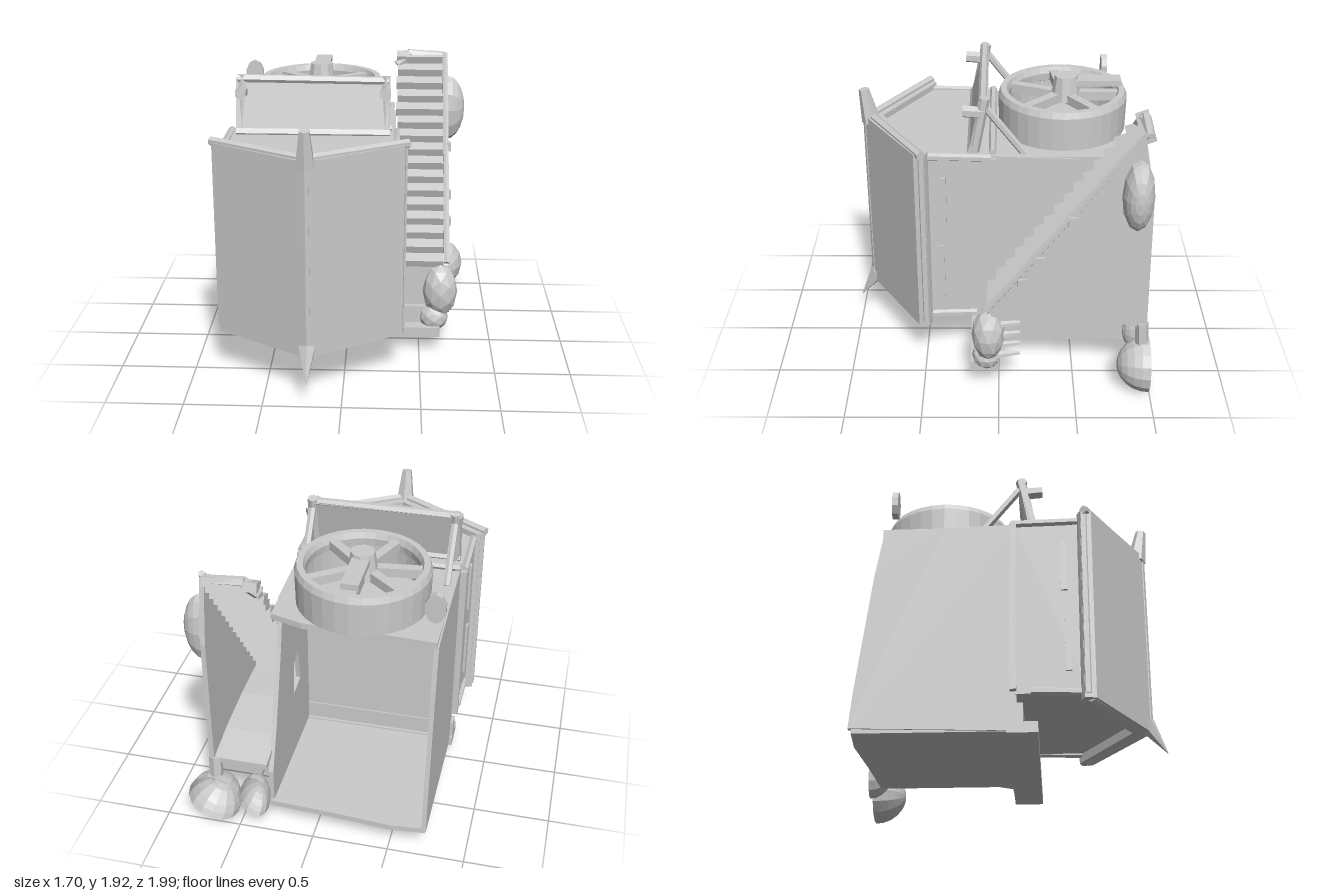
import * as THREE from 'three';

const mat = new THREE.MeshStandardMaterial({ color: 0xcccccc, flatShading: true, side: THREE.DoubleSide });

export function createModel() {
  const root = new THREE.Group();
  const add = (name, geo, x = 0, y = 0, z = 0) => {
    const m = new THREE.Mesh(geo, mat);
    m.name = name;
    m.position.set(x, y, z);
    root.add(m);
    return m;
  };
  // box given by its limits on each axis
  const box = (name, x0, x1, y0, y1, z0, z1) =>
    add(name, new THREE.BoxGeometry(x1 - x0, y1 - y0, z1 - z0), (x0 + x1) / 2, (y0 + y1) / 2, (z0 + z1) / 2);
  const shapeOf = pts => new THREE.Shape(pts.map(p => new THREE.Vector2(p[0], p[1])));
  // outline in (x, z), raised from y0 to y1
  const slab = (name, pts, y0, y1) => {
    const g = new THREE.ExtrudeGeometry(shapeOf(pts.map(p => [p[0], -p[1]])), { depth: y1 - y0, bevelEnabled: false });
    return add(name, g.rotateX(-Math.PI / 2), 0, y0, 0);
  };
  // outline in (z, y), spanning x0 to x1
  const side = (name, pts, x0, x1, hole) => {
    const s = shapeOf(pts.map(p => [-p[0], p[1]]));
    if (hole) s.holes.push(new THREE.Path(hole.map(p => new THREE.Vector2(-p[0], p[1]))));
    const g = new THREE.ExtrudeGeometry(s, { depth: x1 - x0, bevelEnabled: false });
    return add(name, g.rotateY(Math.PI / 2), x0, 0, 0);
  };
  const rod = (name, a, b, r, r2 = r, n = 6) => {
    const A = new THREE.Vector3(...a), B = new THREE.Vector3(...b);
    const m = add(name, new THREE.CylinderGeometry(r2, r, A.distanceTo(B), n));
    m.position.copy(A).lerp(B, 0.5);
    m.quaternion.setFromUnitVectors(new THREE.Vector3(0, 1, 0), B.sub(A).normalize());
    return m;
  };

  // hollow body, open at the back, with the rear edges sloping forward to the roof
  side('outerBodyWall', [[0.06, 0.13], [0.06, 1.55], [-0.4, 1.54], [-0.79, 1.51], [-0.84, 1.2], [-0.93, 0.4],
    [-0.95, 0.16]], -0.74, -0.71);
  side('innerBodyWall', [[0.06, 0.13], [0.06, 1.55], [-0.52, 1.53], [-0.6, 1.2], [-0.76, 0.7], [-0.88, 0.4],
    [-0.88, 0.16]], 0.29, 0.32, [[-0.18, 0.67], [-0.34, 0.65], [-0.33, 0.88], [-0.22, 0.92]]);
  slab('bodyRoof', [[-0.73, 0.05], [-0.73, -0.8], [-0.3, -0.78], [0.1, -0.78], [0.31, -0.72], [0.31, 0.05]], 1.5, 1.54);
  slab('bodyFloor', [[-0.73, 0.05], [-0.73, -0.93], [-0.5, -0.95], [-0.1, -0.92], [0.31, -0.9], [0.31, 0.05]], 0.13, 0.17);
  box('bodyFrontWall', -0.74, 0.32, 0.13, 1.55, 0.03, 0.06);

  // pointed front chamber
  slab('frontChamber', [[-0.75, 0.05], [-0.77, 0.5], [-0.22, 0.82], [0.33, 0.5], [0.31, 0.05]], 0.36, 1.55);
  box('baseLip', -0.76, 0.64, 0.11, 0.18, 0, 0.19);
  box('baseBand', -0.76, 0.66, 0.17, 0.3, 0.02, 0.1);

  // V shield with its rims and centre spikes
  slab('shield', [[-0.83, 0.47], [-0.82, 0.54], [-0.22, 0.91], [0.38, 0.54], [0.39, 0.47], [0.34, 0.45],
    [-0.22, 0.78], [-0.78, 0.45]], 0.3, 1.59);
  for (const s of [-1, 1]) {
    rod('shieldTopRim', [-0.22 + s * 0.62, 1.59, 0.49], [-0.22, 1.59, 0.86], 0.03);
    rod('shieldBottomRim', [-0.22 + s * 0.57, 0.31, 0.51], [-0.22, 0.32, 0.86], 0.025);
    rod('shieldEdge', [-0.22 + s * 0.59, 0.33, 0.49], [-0.22 + s * 0.59, 1.58, 0.49], 0.03);
  }
  rod('shieldRidge', [-0.22, 0.3, 0.89], [-0.22, 1.6, 0.89], 0.025);
  rod('topSpike', [-0.22, 1.55, 0.86], [-0.22, 1.78, 0.9], 0.065, 0.035);
  rod('bottomSpike', [-0.22, 0.36, 0.87], [-0.22, 0.16, 1], 0.06, 0.002);

  // strips on the chamber sides
  for (const x of [0.325, -0.765]) {
    box('sideStrip', x - 0.015, x + 0.015, 0.5, 0.9, 0.36, 0.4);
    box('sideStrip', x - 0.015, x + 0.015, 1.05, 1.4, 0.34, 0.38);
    box('sidePost', x - 0.02, x + 0.02, 0.38, 1.54, 0.02, 0.06);
    rod('sideRail', [x, 1.54, 0.05], [x, 1.55, 0.47], 0.025);
    rod('sideRail', [x, 0.37, 0.15], [x, 0.36, 0.47], 0.025);
  }

  // upright screen with rim, posts and braces
  side('screen', [[0.2, 1.54], [0.16, 1.54], [0.07, 1.9], [0.11, 1.91]], -0.72, 0.27);
  rod('screenTopRim', [-0.71, 1.9, 0.1], [0.27, 1.89, 0.1], 0.03);
  rod('screenFoot', [-0.72, 1.56, 0.17], [0.28, 1.56, 0.17], 0.035);
  rod('screenBackFoot', [-0.74, 1.56, 0.04], [0.29, 1.56, 0.04], 0.025);
  for (const x of [-0.68, 0.25]) {
    rod('screenPost', [x, 1.55, 0.16], [x, 1.92, 0.09], 0.035);
    rod('screenBrace', [x, 1.85, 0.08], [x, 1.54, -0.16], 0.025);
    rod('screenLug', [x, 1.82, 0.1], [x, 1.83, 0.23], 0.04);
  }

  // spoked wheel lying on the roof
  const wx = -0.2, wz = -0.42;
  const ring = [[0.38, 0], [0.42, 0], [0.425, 0.22], [0.41, 0.26], [0.37, 0.26], [0.355, 0.22], [0.36, 0.17], [0.38, 0.16],
    [0.38, 0]];
  add('wheelRim', new THREE.LatheGeometry(ring.map(p => new THREE.Vector2(...p)), 32), wx, 1.54, wz);
  for (const deg of [35, 90, 140, 187, 247, 315]) {
    const spoke = add('wheelSpoke', new THREE.BoxGeometry(0.34, 0.06, 0.06).translate(0.21, 0, 0), wx, 1.75, wz);
    spoke.rotation.y = deg * Math.PI / 180;
  }
  add('wheelHub', new THREE.CylinderGeometry(0.075, 0.1, 0.16, 10), wx, 1.81, wz - 0.02);
  box('crankArm', wx - 0.055, wx + 0.055, 1.83, 1.87, -0.8, wz);
  add('sideDisc', new THREE.CylinderGeometry(0.1, 0.1, 0.04, 10).rotateX(Math.PI / 2), -0.7, 1.74, -0.73).scale.x = 0.65;

  // staircase: separate treads between side wall and body
  const n = 16;
  for (let i = 0; i < n; i++) {
    const t = i / (n - 1), z = 0.04 - 0.92 * t, y = 0.62 + 1.22 * t;
    const tread = box('tread', 0.33 - 0.01 * (i % 2), 0.66, y - 0.035, y + 0.025, z - 0.055, z + 0.03);
    tread.rotation.x = 0.35;
  }
  side('stairSideWall', [[0.08, 0.6], [-0.4, 1.24], [-0.87, 1.88], [-0.92, 1.6], [-0.95, 1.4], [-0.96, 0.52],
    [-0.75, 0.56], [-0.3, 0.57]], 0.66, 0.69);
  rod('stairEdge', [0.68, 0.62, 0.08], [0.67, 1.87, -0.88], 0.022);
  rod('stairTopRim', [0.33, 1.78, -0.87], [0.42, 1.86, -0.9], 0.04);
  rod('stairTopRim', [0.4, 1.86, -0.9], [0.66, 1.84, -0.9], 0.035);
  side('stairUnderside', [[0.05, 0.56], [0.05, 0.6], [-0.35, 0.6], [-0.7, 0.57], [-0.95, 0.52], [-0.95, 0.48],
    [-0.7, 0.54], [-0.35, 0.56]], 0.31, 0.68);
  for (const [y, z] of [[0.84, -0.15], [1.0, -0.26], [1.29, -0.46]])
    box('stairStud', 0.67, 0.71, y - 0.03, y + 0.03, z - 0.03, z + 0.03);
  // half bulge on the outside of the side wall
  const bulge = new THREE.SphereGeometry(1, 12, 5, 0, Math.PI * 2, 0, Math.PI / 2).rotateZ(-Math.PI / 2);
  add('sideBulge', bulge, 0.69, 1.47, -0.85).scale.set(0.13, 0.24, 0.1);

  // curled foot of the staircase
  box('stairFootWall', 0.31, 0.64, 0.14, 0.58, 0.0, 0.06);
  const foot = add('stairFoot', new THREE.IcosahedronGeometry(1, 1), 0.64, 0.41, 0.07);
  foot.scale.set(0.12, 0.19, 0.11);
  add('footKnob', new THREE.IcosahedronGeometry(0.1, 1), 0.6, 0.22, 0.08);
  for (let i = 0; i < 4; i++) {
    const y = 0.25 + 0.08 * i;
    rod('footFinger', [0.66, y, 0.04], [0.64, y + 0.01, -0.14], 0.03, 0.015);
  }

  // bowls at the back, open to the rear
  const bowl = (x, y, rx, ry, d) => {
    const g = new THREE.SphereGeometry(1, 14, 6, 0, Math.PI * 2, 0, Math.PI / 2).rotateX(Math.PI / 2);
    add('rearBowl', g, x, y, -0.99).scale.set(rx, ry, d);
  };
  bowl(0.67, 0.19, 0.18, 0.19, 0.21);
  bowl(0.39, 0.26, 0.1, 0.17, 0.15);
  rod('bowlNeck', [0.66, 0.34, -0.94], [0.66, 0.52, -0.93], 0.045);

  return root;
}
